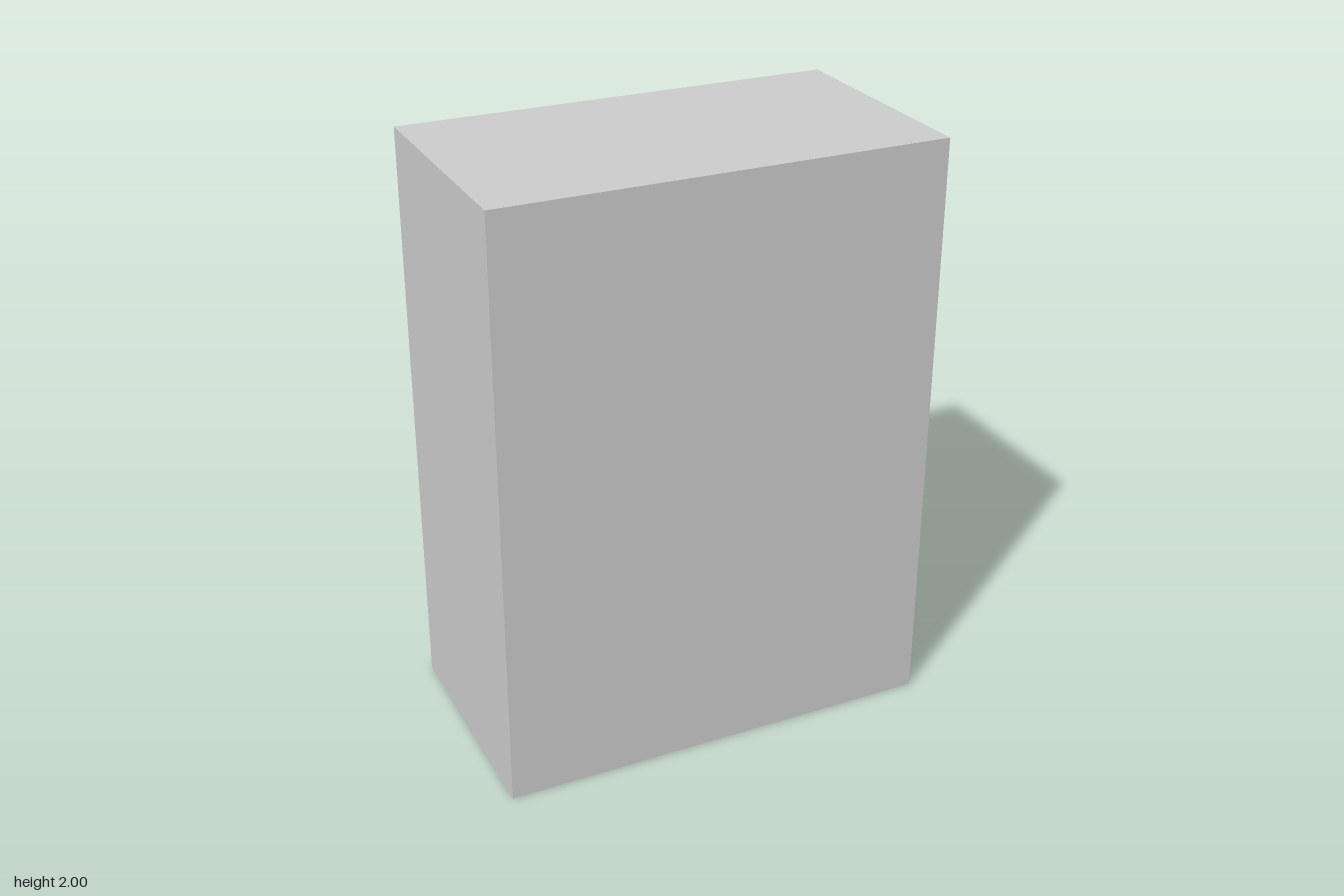
import * as THREE from 'three';

const material = new THREE.MeshStandardMaterial({ color: 0xcccccc, side: THREE.DoubleSide });

// Box given by its two extreme corners
function box(name, x0, x1, y0, y1, z0, z1) {
  const mesh = new THREE.Mesh(new THREE.BoxGeometry(x1 - x0, y1 - y0, z1 - z0), material);
  mesh.position.set((x0 + x1) / 2, (y0 + y1) / 2, (z0 + z1) / 2);
  mesh.name = name;
  return mesh;
}

// Bracket-shaped pull: extruded U profile, feet at z = 0, reaching out to -z
function pull(name) {
  const half = 0.125, depth = 0.05, t = 0.025, width = 0.022;
  const shape = new THREE.Shape([
    [-half, 0], [-half, depth], [half, depth], [half, 0],
    [half - t, 0], [half - t, depth - t], [-half + t, depth - t], [-half + t, 0],
  ].map(([x, y]) => new THREE.Vector2(x, y)));
  const geometry = new THREE.ExtrudeGeometry(shape, { depth: width, bevelEnabled: false });
  geometry.translate(0, 0, -width / 2).rotateX(-Math.PI / 2);
  const mesh = new THREE.Mesh(geometry, material);
  mesh.name = name;
  return mesh;
}

export function createModel() {
  const wardrobe = new THREE.Group();
  wardrobe.name = 'wardrobe';
  const W = 0.745, inner = 0.695, openZ = -0.365, wallZ = 0.335;

  // Carcass: frame around the hanging space, closed by a thick back panel
  const outline = new THREE.Shape([[-W, 0], [W, 0], [W, 2], [-W, 2]].map(([x, y]) => new THREE.Vector2(x, y)));
  outline.holes.push(new THREE.Path(
    [[-inner, 0.55], [-inner, 1.96], [inner, 1.96], [inner, 0.55]].map(([x, y]) => new THREE.Vector2(x, y))));
  const frame = new THREE.Mesh(
    new THREE.ExtrudeGeometry(outline, { depth: wallZ - openZ, bevelEnabled: false }), material);
  frame.position.z = openZ;
  frame.name = 'carcassFrame';
  wardrobe.add(frame, box('backPanel', -W, W, 0, 2, wallZ, 0.45));

  // Hanging rod and the two side rails carrying it
  const rod = new THREE.Mesh(new THREE.CylinderGeometry(0.022, 0.022, 1.34, 32), material);
  rod.rotation.z = Math.PI / 2;
  rod.position.set(0, 1.66, -0.01);
  rod.name = 'hangingRod';
  wardrobe.add(rod,
    box('leftRodRail', 0.665, inner, 1.6, 1.685, -0.3, wallZ),
    box('rightRodRail', -inner, -0.665, 1.6, 1.685, -0.3, wallZ));

  // Single door with an upright pull
  const doorPull = pull('doorPull');
  doorPull.rotation.z = Math.PI / 2;
  doorPull.position.set(-0.077, 1.005, -0.4);
  wardrobe.add(box('door', -0.69, -0.01, 0.56, 1.97, -0.4, openZ), doorPull);

  // Two drawers with level pulls
  for (const [side, s] of [['left', 1], ['right', -1]]) {
    const drawerPull = pull(side + 'DrawerPull');
    drawerPull.position.set(s * 0.365, 0.283, -0.388);
    wardrobe.add(
      box(side + 'DrawerFront', s * 0.35 - 0.34, s * 0.35 + 0.34, 0.04, 0.53, -0.388, openZ),
      drawerPull);
  }
  return wardrobe;
}
